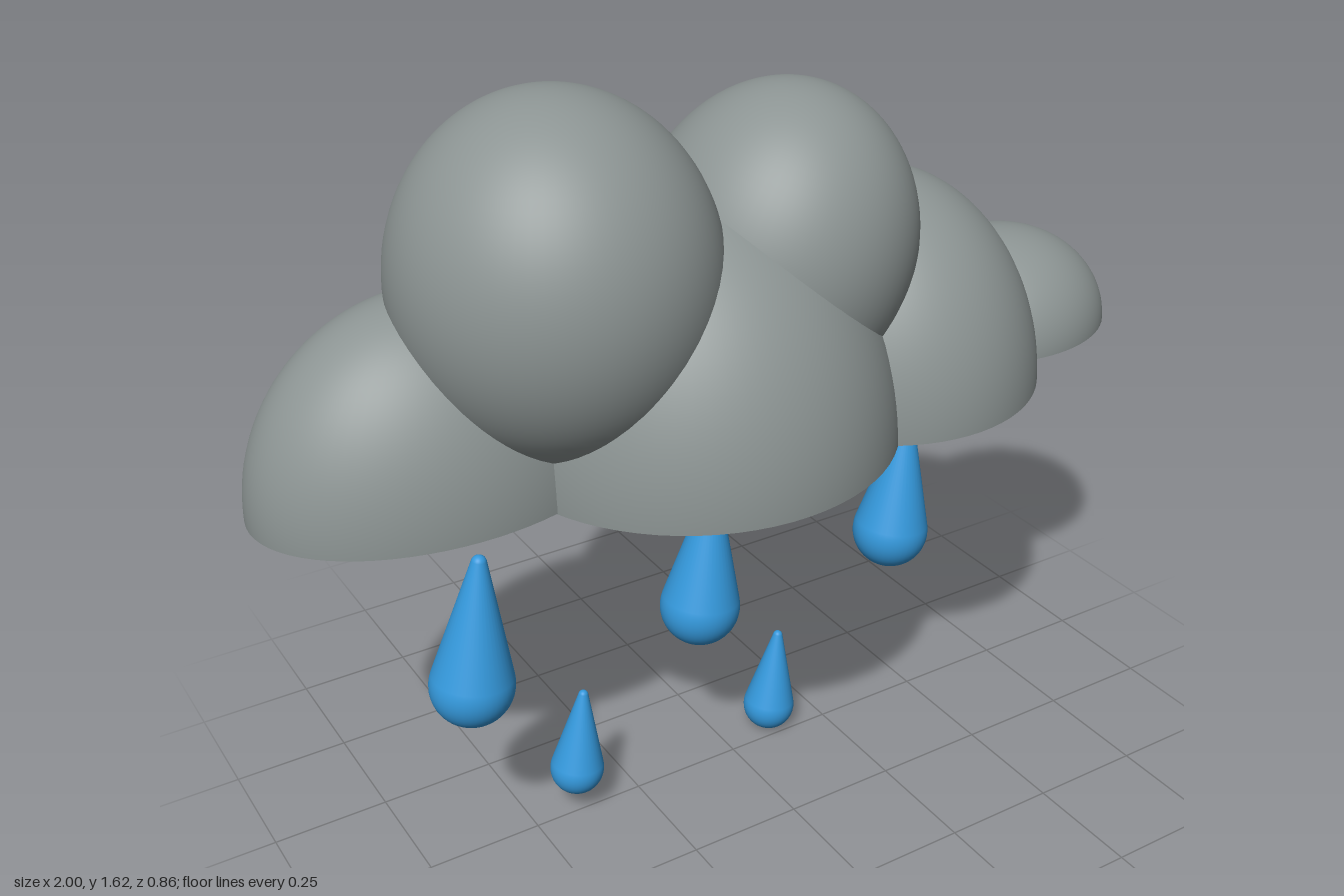
import * as THREE from 'three';

const cloudGrey = new THREE.MeshStandardMaterial({ color: 0x8c9493 });
cloudGrey.name = 'cloudGrey';
const rainBlue = new THREE.MeshStandardMaterial({ color: 0x3498db });
rainBlue.name = 'rainBlue';

// Teardrop profile: large round bottom, straight tangent cone, small round tip
function dropGeometry() {
  const R = 0.087, r = 0.016, d = 0.275;
  const lean = Math.asin((R - r) / d);
  const points = [];
  const arc = (radius, y, from, to, steps) => {
    for (let i = 0; i <= steps; i++) {
      const a = from + ((to - from) * i) / steps;
      points.push(new THREE.Vector2(Math.max(0, radius * Math.cos(a)), y + radius * Math.sin(a)));
    }
  };
  arc(R, 0, -Math.PI / 2, lean, 20);
  arc(r, d, lean, Math.PI / 2, 8);
  return new THREE.LatheGeometry(points, 40);
}

export function createModel() {
  const model = new THREE.Group();
  model.name = 'rainCloud';
  const cloud = new THREE.Group();
  cloud.name = 'cloud';
  model.add(cloud);

  const dome = new THREE.SphereGeometry(1, 72, 28, 0, Math.PI * 2, 0, Math.PI / 2);
  const disc = new THREE.CircleGeometry(1, 72).rotateX(Math.PI / 2);
  const ball = new THREE.SphereGeometry(1, 72, 48);

  // Lower puffs: flat-bottomed half ellipsoids [name, centre, radii, tilt]
  const lowerPuffs = [
    ['leftEndPuff', [0.74, 0.89, -0.0625], [0.26, 0.215, 0.2325], 0.035],
    ['leftPuff', [0.37, 0.877, -0.018], [0.34, 0.453, 0.37], 0.035],
    ['middlePuff', [-0.1, 0.864, 0], [0.42, 0.53, 0.43], 0.02],
    ['rightPuff', [-0.62, 0.856, -0.09], [0.38, 0.395, 0.266], 0.016],
  ];
  for (const [name, centre, radii, tilt] of lowerPuffs) {
    const puff = new THREE.Group();
    puff.name = name;
    const top = new THREE.Mesh(dome, cloudGrey);
    top.name = name + 'Dome';
    const base = new THREE.Mesh(disc, cloudGrey);
    base.name = name + 'Base';
    puff.add(top, base);
    puff.position.set(...centre);
    puff.scale.set(...radii);
    puff.rotation.z = tilt;
    cloud.add(puff);
  }

  // Upper puffs: whole ellipsoids sunk into the lower ones
  const upperPuffs = [
    ['upperRightPuff', [-0.39, 1.26, 0], [0.32, 0.36, 0.325], [0, 0, 0]],
    ['upperLeftPuff', [0.09, 1.22, 0], [0.284, 0.345, 0.297], [0.15, 0, -0.3]],
  ];
  for (const [name, centre, radii, turn] of upperPuffs) {
    const puff = new THREE.Mesh(ball, cloudGrey);
    puff.name = name;
    puff.position.set(...centre);
    puff.scale.set(...radii);
    puff.rotation.set(...turn);
    cloud.add(puff);
  }

  // Raindrops, all leaning the same way [x, y, z, scale]
  const rain = new THREE.Group();
  rain.name = 'rain';
  model.add(rain);
  const drop = dropGeometry();
  const drops = [
    [-0.64, 0.453, 0.04, 1],
    [-0.085, 0.426, 0, 1],
    [0.457, 0.426, -0.04, 1],
    [-0.393, 0.108, -0.012, 0.67],
    [0.123, 0.059, -0.04, 0.67],
  ];
  drops.forEach(([x, y, z, s], i) => {
    const mesh = new THREE.Mesh(drop, rainBlue);
    mesh.name = 'raindrop' + (i + 1);
    mesh.position.set(x, y, z);
    mesh.scale.setScalar(s);
    mesh.rotation.z = -0.125;
    rain.add(mesh);
  });

  return model;
}
